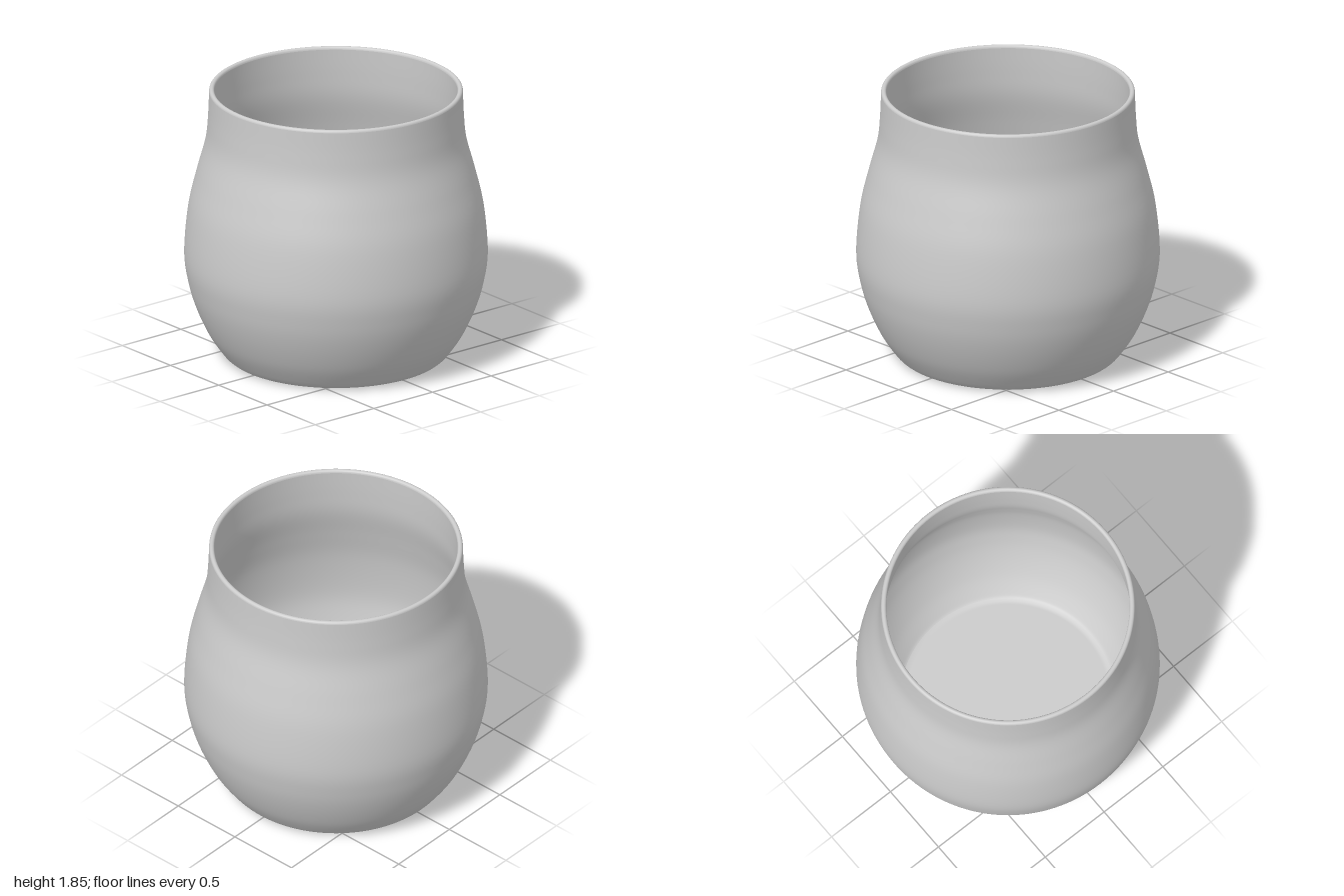
import * as THREE from 'three';

const WALL = 0.035;
const v = (x, y) => new THREE.Vector2(x, y);

export function createModel() {
  const group = new THREE.Group();
  const material = new THREE.MeshStandardMaterial({ color: 0xcccccc });

  // Outer silhouette from the foot to just below the rim
  const curve = new THREE.SplineCurve([
    v(0.7, 0.003), v(0.728, 0.016), v(0.765, 0.055), v(0.848, 0.18), v(0.925, 0.35), v(0.975, 0.52),
    v(1.0, 0.72), v(0.973, 1.03), v(0.918, 1.27), v(0.86, 1.49), v(0.843, 1.66), v(0.836, 1.833),
  ]);
  const steps = 60;
  const outer = [], inner = [];
  for (let i = 0; i <= steps; i++) {
    const p = curve.getPoint(i / steps), t = curve.getTangent(i / steps);
    outer.push(p);
    // Inner wall: the same line moved inwards by the wall thickness
    const q = v(p.x - t.y * WALL, p.y + t.x * WALL);
    if (q.y > 0.045) inner.push(q);
  }

  // Rounded lip joining the two walls
  const a = outer[outer.length - 1], b = inner[inner.length - 1];
  const lip = [];
  for (let i = 1; i < 8; i++) {
    const angle = (i / 8) * Math.PI;
    lip.push(v((a.x + b.x) / 2 + Math.cos(angle) * WALL / 2, 1.833 + Math.sin(angle) * WALL / 2));
  }

  const addLathe = (name, points) => {
    const mesh = new THREE.Mesh(new THREE.LatheGeometry(points, 128), material);
    mesh.name = name;
    group.add(mesh);
  };
  addLathe('base', [v(0, 0), v(0.69, 0), v(0.7, 0.003)]);
  addLathe('outerWall', outer);
  addLathe('rim', [a, ...lip, b]);
  addLathe('innerWall', [...inner].reverse());
  addLathe('floor', [inner[0], v(inner[0].x - 0.02, 0.038), v(inner[0].x - 0.04, 0.036), v(0, 0.036)]);

  return group;
}
